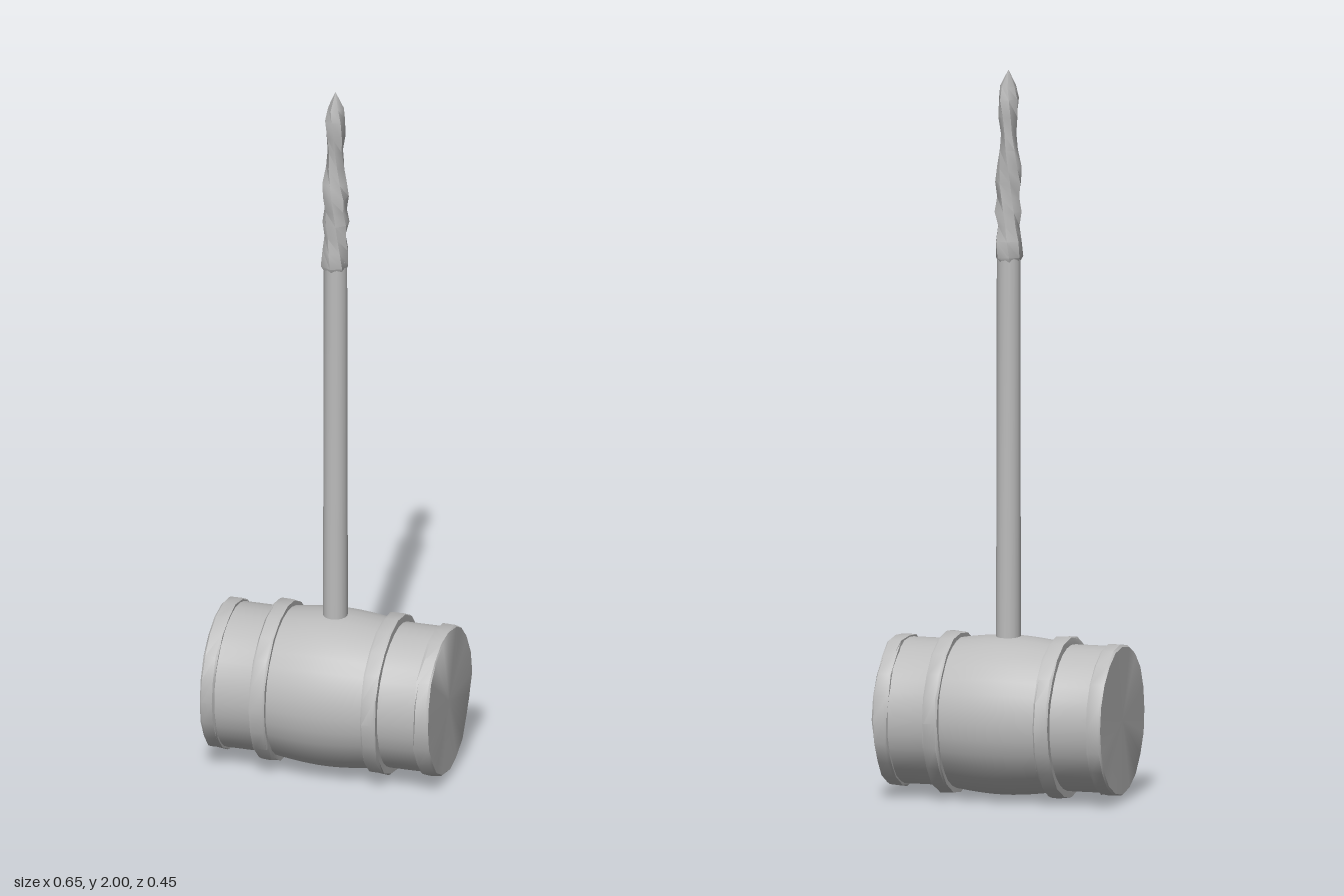
import * as THREE from 'three';
import { toCreasedNormals } from 'three/addons/utils/BufferGeometryUtils.js';

const AXIS_Y = 0.236; // height of the barrel's axis

// Repeatable noise from a position, -1..1, so shared corners move together
function noise(x, y, z, seed) {
  const r = (v) => Math.round(v * 500);
  const s = Math.sin(r(x) * 12.9898 + r(y) * 78.233 + r(z) * 37.719 + seed * 4.137) * 43758.5453;
  return (s - Math.floor(s)) * 2 - 1;
}

function lathe(profile, sides) {
  return new THREE.LatheGeometry(profile.map(([r, y]) => new THREE.Vector2(r, y)), sides);
}

// Worn, hand-hewn surface: shift corners radially and along the lathe axis
function roughen(geo, radial, axial, seed) {
  const p = geo.attributes.position;
  for (let i = 0; i < p.count; i++) {
    const x = p.getX(i), y = p.getY(i), z = p.getZ(i);
    const k = 1 + radial * noise(x, y, z, seed);
    p.setXYZ(i, x * k, y + axial * noise(z, x, y, seed + 5), z * k);
  }
  return geo;
}

export function createModel() {
  const model = new THREE.Group();
  const grey = new THREE.MeshStandardMaterial({ color: 0xbcbcbc });
  grey.name = 'plain grey';

  function add(name, geo, parent, crease = 0.7) {
    geo.deleteAttribute('uv');
    const mesh = new THREE.Mesh(toCreasedNormals(geo, crease), grey);
    mesh.name = name;
    parent.add(mesh);
    return mesh;
  }

  // Hammer head: lathed along y, then laid along x
  const head = new THREE.Group();
  head.name = 'head';
  head.rotation.z = -Math.PI / 2;
  head.position.y = AXIS_Y;
  model.add(head);

  // Barrel with straight ends and a bulging middle
  const barrel = [[0.2, -0.315], [0.2, -0.17]];
  for (let i = 0; i <= 12; i++) {
    const t = -1 + i / 6;
    barrel.push([0.204 + 0.014 * Math.cos((t * Math.PI) / 2), t * 0.15]);
  }
  barrel.push([0.2, 0.17], [0.2, 0.315]);
  add('barrel', lathe(barrel, 32), head);

  for (const side of [-1, 1]) {
    const label = side < 0 ? 'right' : 'left';

    // Raised middle hoop
    const hoop = [[0.195, 0.136], [0.219, 0.136], [0.222, 0.142], [0.222, 0.173], [0.219, 0.179], [0.195, 0.179]];
    const placed = side > 0 ? hoop : hoop.map(([r, y]) => [r, -y]).reverse();
    add(label + 'MiddleHoop', roughen(lathe(placed, 20), 0.012, 0.001, 3 + side), head);

    // End hoop closed by the striking face
    const end = [[0.195, 0.283], [0.206, 0.283], [0.208, 0.288], [0.207, 0.319], [0.203, 0.324], [0, 0.324]];
    const capped = side > 0 ? end : end.map(([r, y]) => [r, -y]).reverse();
    const wear = side > 0 ? 0.003 : 0.0008;
    add(label + 'EndHoop', roughen(lathe(capped, 20), 0.012, wear, 8 + side), head);
  }

  // Straight shaft
  const shaft = new THREE.CylinderGeometry(0.032, 0.034, 1.08, 16);
  shaft.translate(0, 0.96, 0);
  add('shaft', shaft, model);

  // Carved grip with a pinched neck and a pointed tip
  const grip = lathe([
    [0.028, 1.465], [0.038, 1.485], [0.036, 1.53], [0.033, 1.57], [0.036, 1.61], [0.033, 1.65],
    [0.037, 1.69], [0.034, 1.73], [0.029, 1.78], [0.025, 1.825], [0.029, 1.87], [0.032, 1.92],
    [0.025, 1.955], [0, 2],
  ], 7);
  roughen(grip, 0.1, 0, 2);
  // Twist the rings and flatten the upper blade across x
  const p = grip.attributes.position;
  for (let i = 0; i < p.count; i++) {
    const x = p.getX(i), y = p.getY(i), z = p.getZ(i);
    const a = (y - 1.46) * 4;
    const blade = THREE.MathUtils.smoothstep(y, 1.7, 1.85) * 0.13;
    p.setX(i, (x * Math.cos(a) - z * Math.sin(a)) * (1 - blade));
    p.setZ(i, (x * Math.sin(a) + z * Math.cos(a)) * (1 + blade));
  }
  add('grip', grip, model, 0.9);

  // Stand exactly on the ground
  model.updateMatrixWorld(true);
  const box = new THREE.Box3().setFromObject(model, true);
  head.position.y -= box.min.y;
  return model;
}
